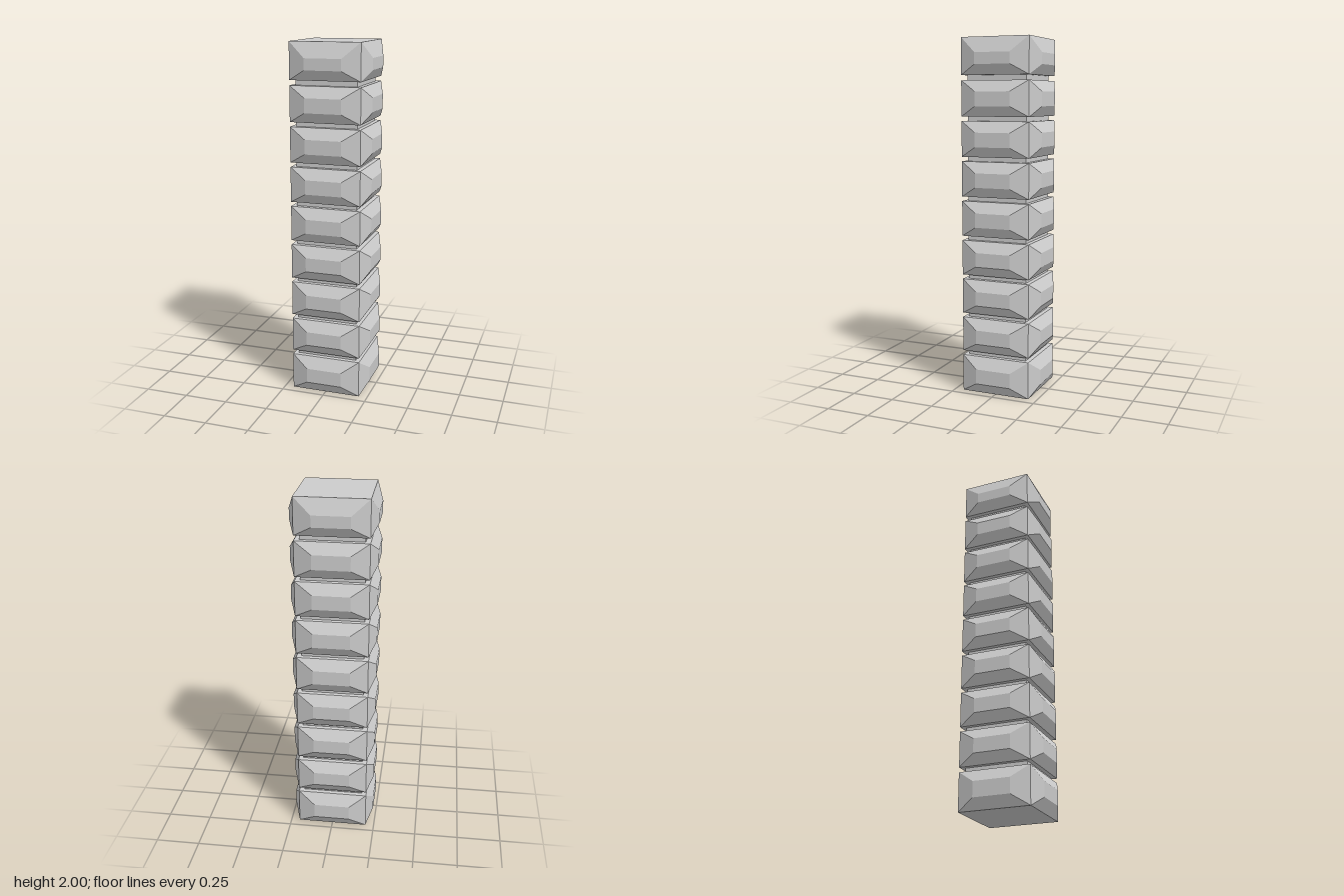
import * as THREE from 'three';
import { mergeGeometries } from 'three/addons/utils/BufferGeometryUtils.js';

const HALF = 0.2;          // half width of a block at its corners
const BULGE = 0.237;       // distance of the raised panel from the axis
const PANEL = 0.103;       // half width of the raised panel
const CORE = 0.174;        // half width of the recessed core
const COUNT = 9;

const material = new THREE.MeshStandardMaterial({ color: 0xcccccc, flatShading: true });

// A flat rectangle of four corners, anticlockwise from outside
const quad = (a, b, c, d) => [a, b, c, a, c, d].flat();

function fromPositions(positions) {
  const g = new THREE.BufferGeometry();
  g.setAttribute('position', new THREE.Float32BufferAttribute(positions, 3));
  g.computeVertexNormals();
  return g;
}

// Square block: each side is a raised panel framed by four sloping facets
function blockGeometry(y0, p0, p1, y1) {
  const loop = (w, low, high, z) => [[-w, low, z], [w, low, z], [w, high, z], [-w, high, z]];
  const outer = loop(HALF, y0, y1, HALF);
  const inner = loop(PANEL, p0, p1, BULGE);
  const positions = quad(...inner);
  for (let i = 0; i < 4; i++) {
    const j = (i + 1) % 4;
    positions.push(...quad(outer[i], outer[j], inner[j], inner[i]));
  }
  const side = fromPositions(positions);
  const parts = [0, 1, 2, 3].map((k) => side.clone().rotateY((k * Math.PI) / 2));
  // Top and bottom faces
  const h = HALF;
  parts.push(fromPositions([
    ...quad([-h, y1, h], [h, y1, h], [h, y1, -h], [-h, y1, -h]),
    ...quad([-h, y0, -h], [h, y0, -h], [h, y0, h], [-h, y0, h]),
  ]));
  return mergeGeometries(parts);
}

export function createModel() {
  const model = new THREE.Group();
  model.name = 'segmentedPillar';

  // Stack of faceted blocks; the end blocks are slightly taller
  for (let i = 0; i < COUNT; i++) {
    const base = 0.0145 + i * 0.2223;
    let levels = [base, base + 0.056, base + 0.136, base + 0.197];
    if (i === 0) levels = [0, 0.06, 0.145, 0.211];
    if (i === COUNT - 1) levels = [1.796, 1.852, 1.915, 2];
    const block = new THREE.Mesh(blockGeometry(...levels), material);
    block.name = `block${i + 1}`;
    model.add(block);
  }

  // Recessed core showing in the grooves between blocks
  const core = new THREE.Mesh(new THREE.BoxGeometry(CORE * 2, 1.8, CORE * 2), material);
  core.position.y = 1;
  core.name = 'core';
  model.add(core);

  return model;
}
